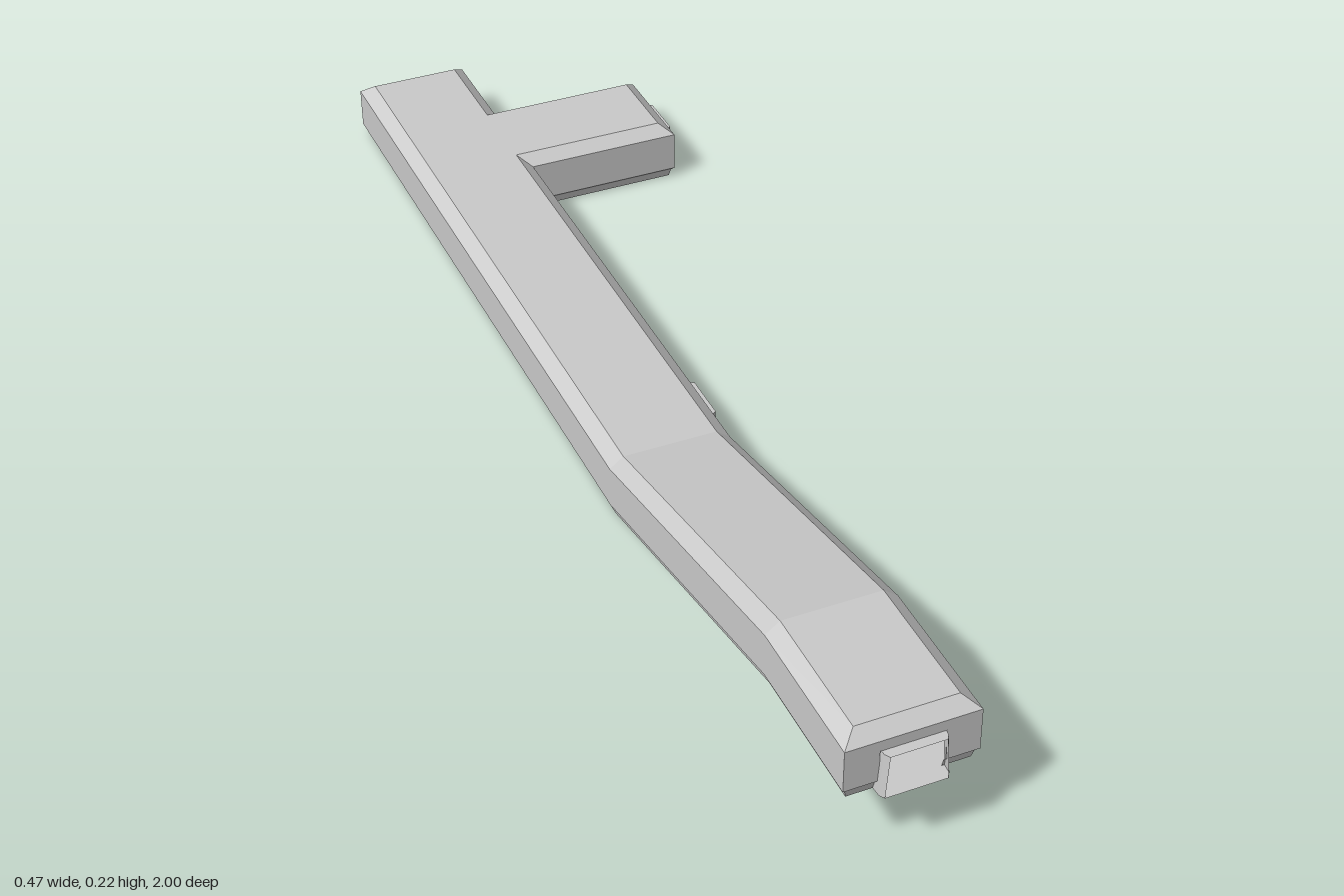
import * as THREE from 'three';

const material = new THREE.MeshStandardMaterial({ color: 0xcccccc, flatShading: true, side: THREE.DoubleSide });

// Mesh from a list of polygons; each polygon is a convex loop of [x, y, z]
function meshFrom(name, polygons) {
  const pos = [];
  for (const p of polygons)
    for (let i = 1; i < p.length - 1; i++) pos.push(...p[0], ...p[i], ...p[i + 1]);
  const geo = new THREE.BufferGeometry();
  geo.setAttribute('position', new THREE.Float32BufferAttribute(pos, 3));
  geo.computeVertexNormals();
  const mesh = new THREE.Mesh(geo, material);
  mesh.name = name;
  return mesh;
}

const LEFT = -0.237, RIGHT = -0.043, END = 0.985;   // main run
const TIP = 0.222, BR_FRONT = -0.62, BR_BACK = -0.81; // side branch
const LOW = 0.21, HIGH = 0.75, RISE = 0.118;        // ramp
const PORT_HALF = 0.047, PORT_TOP = 0.069;
const MID = (LEFT + RIGHT) / 2, BR_MID = (BR_FRONT + BR_BACK) / 2, SIDE_Z = 0.083;

const lift = (z) => RISE * THREE.MathUtils.clamp((z - LOW) / (HIGH - LOW), 0, 1);

// Plan outline, counterclockwise from above: x, z, inward direction, and whether a port starts here
const outline = [
  [LEFT, END, 1, -1],
  [MID - PORT_HALF, END, 0, -1, true],
  [MID + PORT_HALF, END, 0, -1],
  [RIGHT, END, -1, -1],
  [RIGHT, HIGH, -1, 0],
  [RIGHT, LOW, -1, 0],
  [RIGHT, SIDE_Z + PORT_HALF, -1, 0, true],
  [RIGHT, SIDE_Z - PORT_HALF, -1, 0],
  [RIGHT, BR_FRONT, -1, -1],
  [TIP, BR_FRONT, -1, -1],
  [TIP, BR_MID + PORT_HALF, -1, 0, true],
  [TIP, BR_MID - PORT_HALF, -1, 0],
  [TIP, BR_BACK, -1, 1],
  [RIGHT, BR_BACK, -1, 1],
  [RIGHT, -END, -1, 1],
  [MID + PORT_HALF, -END, 0, 1, true],
  [MID - PORT_HALF, -END, 0, 1],
  [LEFT, -END, 1, 1],
  [LEFT, LOW, 1, 0],
  [LEFT, HIGH, 1, 0],
];

// Wall section: height, inset
const section = [[0, 0.008], [0.013, 0.005], [0.018, 0], [PORT_TOP, 0], [0.086, 0], [0.103, 0.022]];

const rings = section.map(([y, inset]) => outline.map(([x, z, dx, dz]) =>
  [x + dx * inset, y + lift(z), z + dz * inset]));

function buildWalls() {
  const quads = [];
  for (let k = 0; k < section.length - 1; k++) {
    outline.forEach((point, i) => {
      if (point[4] && section[k][0] < PORT_TOP) return; // port opening
      const j = (i + 1) % outline.length;
      quads.push([rings[k][i], rings[k][j], rings[k + 1][j], rings[k + 1][i]]);
    });
  }
  return meshFrom('ductWalls', quads);
}

// Flat panels over one ring: raised end, ramp, and level T-shaped run
function buildPanel(name, ring, faceUp) {
  const polygons = [];
  for (const ids of [[0, 1, 2, 3, 4, 19], [19, 4, 5, 18], [5, 6, 7, 8, 9, 10, 11, 12, 13, 14, 15, 16, 17, 18]]) {
    const loop = ids.map((i) => ring[i]);
    const flat = loop.map(([x, , z]) => new THREE.Vector2(x, -z));
    for (const tri of THREE.ShapeUtils.triangulateShape(flat, [])) {
      const corners = tri.map((i) => loop[i]);
      polygons.push(faceUp ? corners : corners.reverse());
    }
  }
  return meshFrom(name, polygons);
}

// Thin open collar around a port, with a floor tongue; built facing +z
function buildCollar(name, x, y, z, turn) {
  const steps = [[-0.008, 0.051], [0.007, 0.05], [0.015, 0.045]]; // depth, half width
  const arch = ([d, w]) => [[w, 0, d], [w - 0.005, PORT_TOP, d], [-w + 0.005, PORT_TOP, d], [-w, 0, d]];
  const quads = [];
  for (let s = 0; s < steps.length - 1; s++) {
    const a = arch(steps[s]), b = arch(steps[s + 1]);
    for (let i = 0; i < 4; i++) {
      const j = (i + 1) % 4;
      quads.push([a[i], a[j], b[j], b[i]]);
    }
  }
  const mesh = meshFrom(name, quads);
  mesh.position.set(x, y, z);
  mesh.rotation.y = turn;
  return mesh;
}

export function createModel() {
  const group = new THREE.Group();
  group.name = 'ventDuct';
  group.add(
    buildWalls(),
    buildPanel('ductRoof', rings[rings.length - 1], true),
    buildPanel('ductFloor', rings[0], false),
    buildCollar('frontCollar', MID, RISE, END, 0),
    buildCollar('backCollar', MID, 0, -END, Math.PI),
    buildCollar('branchCollar', TIP, 0, BR_MID, Math.PI / 2),
    buildCollar('sideCollar', RIGHT, 0, SIDE_Z, Math.PI / 2),
  );
  return group;
}
